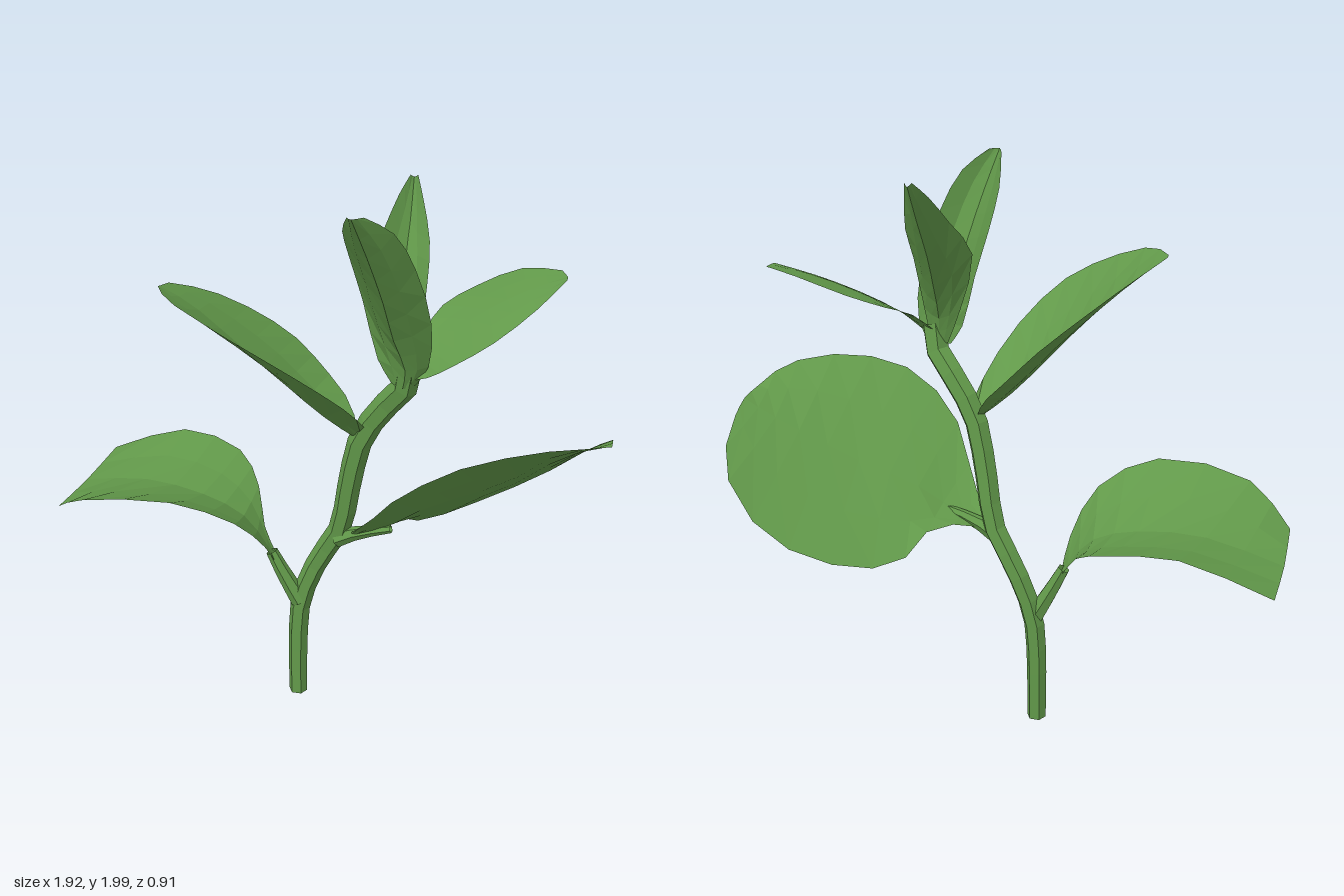
import * as THREE from 'three';

const leafGreen = new THREE.MeshStandardMaterial({ color: 0x62994a, flatShading: true, side: THREE.DoubleSide });
leafGreen.name = 'leafGreen';

const curve = (pts) => new THREE.CatmullRomCurve3(pts.map((p) => new THREE.Vector3(...p)));

// Six-sided stalk along a path, its radius running from r0 to r1
function stalk(name, pts, r0, r1, segments) {
  const path = curve(pts);
  const g = new THREE.TubeGeometry(path, segments, 1, 6);
  const pos = g.attributes.position, v = new THREE.Vector3();
  for (let i = 0; i < pos.count; i++) {
    const t = Math.floor(i / 7) / segments;
    const c = path.getPointAt(t);
    v.fromBufferAttribute(pos, i).sub(c).multiplyScalar(r0 + (r1 - r0) * t).add(c);
    pos.setXYZ(i, v.x, v.y, v.z);
  }
  g.computeVertexNormals();
  const mesh = new THREE.Mesh(g, leafGreen);
  mesh.name = name;
  return mesh;
}

// Thin folded blade spanned between two edge curves and a midrib
function leaf(name, edgeA, midrib, edgeB) {
  const rows = 10;
  const curves = [edgeA, midrib, edgeB].map(curve);
  const pos = [], index = [];
  for (let i = 0; i <= rows; i++) {
    const [a, m, b] = curves.map((c) => c.getPoint(i / rows));
    // quarter points bulge softly so the fold is not a hard V
    const soften = (e, o) => e.clone().add(m).multiplyScalar(0.5)
      .addScaledVector(m.clone().multiplyScalar(2).sub(e).sub(o), 0.06);
    for (const p of [a, soften(a, b), m, soften(b, a), b]) pos.push(p.x, p.y, p.z);
  }
  for (let i = 0; i < rows; i++) {
    for (let j = 0; j < 4; j++) {
      const k = i * 5 + j;
      index.push(k, k + 1, k + 5, k + 1, k + 6, k + 5);
    }
  }
  const g = new THREE.BufferGeometry();
  g.setAttribute('position', new THREE.Float32BufferAttribute(pos, 3));
  g.setIndex(index);
  g.computeVertexNormals();
  const mesh = new THREE.Mesh(g, leafGreen);
  mesh.name = name;
  return mesh;
}

export function createModel() {
  const plant = new THREE.Group();
  plant.name = 'seedling';

  // Stem and side stalks
  plant.add(
    stalk('stem', [[-0.112, 0.01, -0.035], [-0.112, 0.22, -0.04], [-0.098, 0.42, -0.042], [-0.033, 0.6, -0.045],
      [0.05, 0.75, -0.03], [0.085, 0.93, -0.01], [0.13, 1.13, 0.01], [0.2, 1.25, 0.025], [0.28, 1.35, 0.055], [0.295, 1.44, 0.07]], 0.035, 0.045, 16),
    stalk('lowerRightStalk', [[-0.1, 0.42, -0.035], [-0.16, 0.53, -0.03], [-0.205, 0.62, -0.03]], 0.036, 0.022, 3),
    stalk('lowerLeftStalk', [[0.04, 0.71, -0.02], [0.12, 0.75, -0.01], [0.24, 0.785, 0]], 0.032, 0.014, 3)
  );

  // Large lower leaves
  plant.add(
    leaf('lowerRightLeaf',
      [[-0.19, 0.59, -0.01], [-0.2, 0.7, 0.08], [-0.27, 0.85, 0.2], [-0.47, 0.95, 0.28], [-0.8, 0.91, 0.26], [-0.955, 0.8, 0.13]],
      [[-0.19, 0.58, -0.03], [-0.22, 0.64, -0.03], [-0.31, 0.75, -0.04], [-0.47, 0.81, -0.06], [-0.7, 0.83, -0.09], [-0.958, 0.78, -0.13]],
      [[-0.19, 0.59, -0.05], [-0.25, 0.68, -0.1], [-0.31, 0.77, -0.24], [-0.42, 0.85, -0.37], [-0.66, 0.89, -0.42], [-0.95, 0.79, -0.4]]),
    leaf('lowerLeftLeaf',
      [[0.1, 0.76, 0.01], [0.18, 0.87, 0.12], [0.31, 1.06, 0.27], [0.5, 1.2, 0.31], [0.72, 1.25, 0.25], [0.9, 1.23, 0.13], [0.955, 1.18, 0]],
      [[0.1, 0.74, 0], [0.22, 0.79, 0], [0.37, 0.88, -0.02], [0.55, 0.95, -0.05], [0.73, 1.04, -0.08], [0.87, 1.11, -0.1], [0.96, 1.16, -0.1]],
      [[0.1, 0.73, -0.01], [0.24, 0.76, -0.12], [0.32, 0.68, -0.28], [0.5, 0.71, -0.41], [0.72, 0.82, -0.46], [0.9, 1.0, -0.37], [0.955, 1.12, -0.18]])
  );

  // Middle leaf, arched along its length
  plant.add(leaf('middleRightLeaf',
    [[0.15, 1.18, 0.04], [0.12, 1.29, 0.17], [0.04, 1.43, 0.33], [-0.08, 1.55, 0.43], [-0.24, 1.635, 0.43], [-0.4, 1.69, 0.36], [-0.48, 1.69, 0.23]],
    [[0.12, 1.13, 0.02], [0.03, 1.2, 0.05], [-0.07, 1.3, 0.09], [-0.17, 1.41, 0.13], [-0.28, 1.52, 0.16], [-0.39, 1.62, 0.18], [-0.48, 1.685, 0.21]],
    [[0.12, 1.14, 0], [0.07, 1.22, -0.08], [-0.03, 1.32, -0.125], [-0.13, 1.42, -0.13], [-0.25, 1.52, -0.08], [-0.38, 1.62, 0.03], [-0.47, 1.68, 0.16]]));

  // Crown of three young leaves
  plant.add(
    leaf('topFrontLeaf',
      [[0.24, 1.37, 0.08], [0.19, 1.44, 0.06], [0.13, 1.62, 0.02], [0.09, 1.77, 0.05], [0.1, 1.89, 0.2], [0.155, 1.985, 0.4]],
      [[0.28, 1.36, 0.1], [0.29, 1.43, 0.12], [0.26, 1.55, 0.18], [0.24, 1.7, 0.27], [0.21, 1.86, 0.37], [0.18, 1.995, 0.46]],
      [[0.32, 1.37, 0.08], [0.36, 1.44, 0.09], [0.37, 1.6, 0.14], [0.33, 1.8, 0.24], [0.28, 1.93, 0.34], [0.21, 1.995, 0.43]]),
    leaf('topBackLeaf',
      [[0.24, 1.38, 0.05], [0.19, 1.5, 0.04], [0.13, 1.7, 0], [0.17, 1.82, -0.11], [0.2, 1.91, -0.21], [0.225, 1.96, -0.28]],
      [[0.27, 1.38, 0.04], [0.26, 1.47, 0.02], [0.25, 1.59, -0.05], [0.24, 1.71, -0.13], [0.24, 1.83, -0.21], [0.235, 1.95, -0.295]],
      [[0.3, 1.38, 0.05], [0.32, 1.5, 0.04], [0.33, 1.68, -0.02], [0.32, 1.79, -0.11], [0.28, 1.9, -0.21], [0.25, 1.96, -0.28]]),
    leaf('topLeftLeaf',
      [[0.28, 1.38, 0.08], [0.36, 1.41, 0.11], [0.44, 1.46, 0.12], [0.56, 1.53, 0.07], [0.68, 1.61, -0.05], [0.76, 1.67, -0.18]],
      [[0.28, 1.4, 0.06], [0.34, 1.46, 0.02], [0.42, 1.52, -0.04], [0.52, 1.58, -0.1], [0.64, 1.635, -0.16], [0.76, 1.67, -0.22]],
      [[0.28, 1.42, 0.04], [0.32, 1.5, -0.07], [0.36, 1.55, -0.2], [0.46, 1.6, -0.28], [0.61, 1.66, -0.32], [0.74, 1.675, -0.27]])
  );
  return plant;
}
